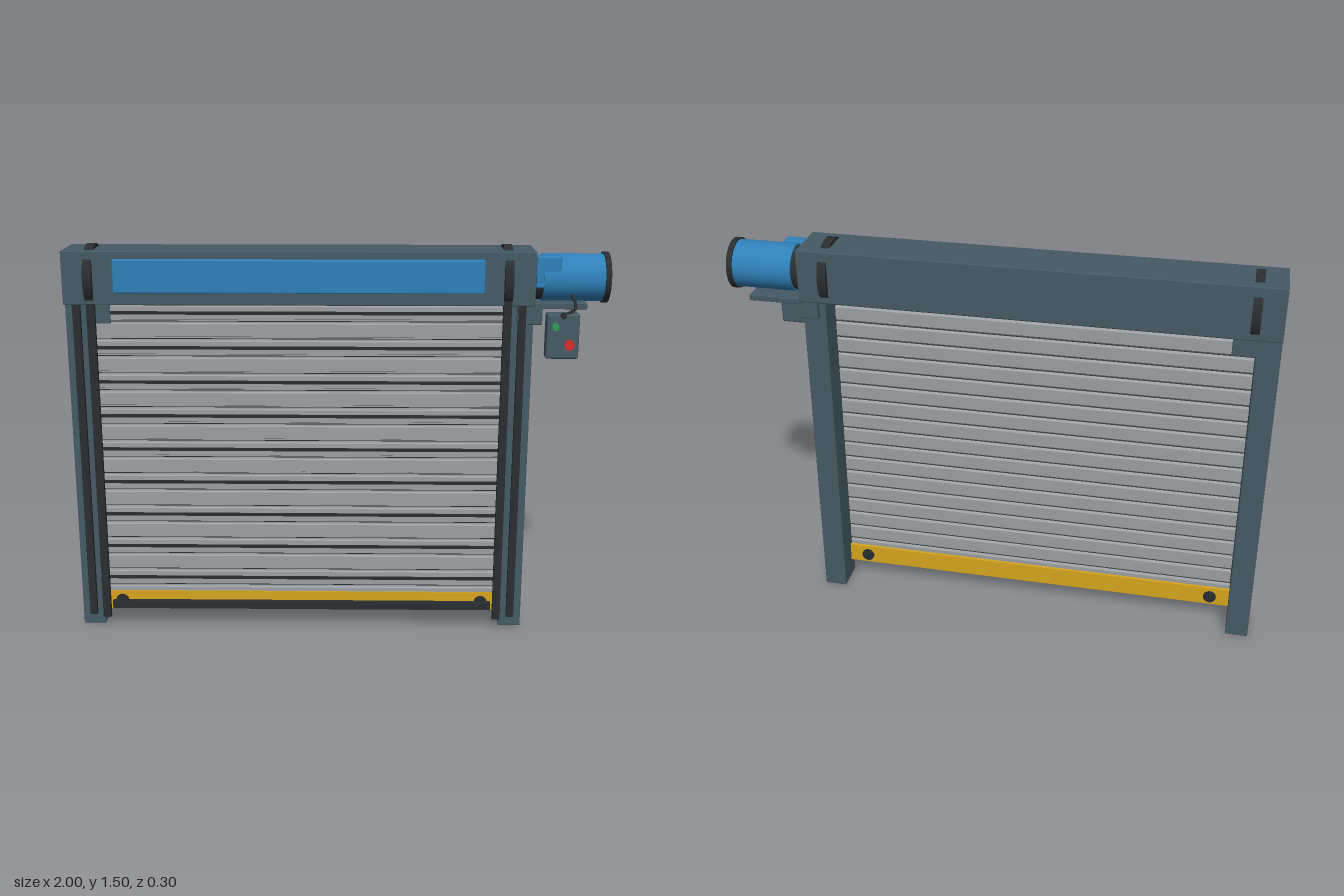
import * as THREE from 'three';
import { RoundedBoxGeometry } from 'three/addons/geometries/RoundedBoxGeometry.js';

const mat = (color) => new THREE.MeshStandardMaterial({ color });

export function createModel() {
  const root = new THREE.Group();
  const steel = mat(0x455a64), black = mat(0x2a2e31), blue = mat(0x2f80b8);
  const yellow = mat(0xd6a51e), grey = mat(0x9c9fa2), red = mat(0xd32f2f), green = mat(0x2e9e57);

  const add = (name, geometry, material) => {
    const m = new THREE.Mesh(geometry, material);
    m.name = name;
    root.add(m);
    return m;
  };
  // box given by its limits on each axis
  const box = (name, material, [x0, x1], [y0, y1], [z0, z1], bevel = 0) => {
    const s = [x1 - x0, y1 - y0, z1 - z0];
    const g = bevel ? new RoundedBoxGeometry(...s, 2, bevel) : new THREE.BoxGeometry(...s);
    g.translate((x0 + x1) / 2, (y0 + y1) / 2, (z0 + z1) / 2);
    return add(name, g, material);
  };
  // cylinder along x or z, from a to b
  const rod = (name, material, axis, r, a, b, u, v, seg = 40) => {
    const g = new THREE.CylinderGeometry(r, r, b - a, seg);
    if (axis === 'x') g.rotateZ(-Math.PI / 2).translate((a + b) / 2, u, v);
    else g.rotateX(Math.PI / 2).translate(u, v, (a + b) / 2);
    return add(name, g, material);
  };

  // roller housing with front panel
  box('housing', steel, [-1, 0.727], [1.282, 1.48], [-0.125, 0.07], 0.004);
  box('frontPanel', blue, [-0.81, 0.54], [1.33, 1.452], [0.065, 0.095], 0.005);

  // drum flanges that break through the housing
  for (const x of [-0.903, 0.628]) rod('drumFlange', black, 'x', 0.121, x - 0.016, x + 0.016, 1.375, -0.025);

  // posts, guide rails and brackets, mirrored about the door's centre line
  const mid = -0.1365;
  for (const side of [-1, 1]) {
    const span = (a, b) => [mid + side * a, mid + side * b].sort((p, q) => p - q);
    box('post', steel, span(0.778, 0.8635), [0, 1.3], [-0.085, 0.037], 0.003);
    box('innerGuideRail', black, span(0.749, 0.779), [0.04, 1.3], [0.05, 0.07]);
    box('outerGuideRail', black, span(0.806, 0.834), [0.045, 1.3], [0.03, 0.056]);
  }
  for (const x of [-0.925, 0.665]) box('bracket', steel, [x, x + 0.093], [1.21, 1.29], [-0.105, 0.05], 0.003);

  // curtain of interlocking slats, every second one with a dark strip
  const pitch = 0.0655, left = -0.913, right = 0.64;
  const profile = new THREE.Shape([
    [0.02, -0.031], [0.036, -0.031], [0.036, -0.026], [0.045, -0.023], [0.045, 0.023],
    [0.036, 0.026], [0.036, 0.031], [0.02, 0.031], [0.014, 0.024], [0.014, -0.024],
  ].map(([z, y]) => new THREE.Vector2(-z, y)).reverse());
  const slatGeo = new THREE.ExtrudeGeometry(profile, { depth: right - left, bevelEnabled: false });
  slatGeo.rotateY(Math.PI / 2);
  for (let i = -1; i <= 16; i++) {
    const y = 0.202 + i * pitch;
    add('slat', slatGeo, grey).position.set(left, y, 0);
    if (i % 2 === 0) box('slatStrip', black, [left, right], [y - 0.006, y + 0.006], [0.04, 0.049]);
  }
  box('curtainCore', black, [left, right], [0.13, 1.3], [0.022, 0.034]);

  // bottom bar with safety edge and end bolts
  box('bottomBar', yellow, [-0.915, 0.642], [0.07, 0.145], [0.002, 0.05]);
  box('safetyEdge', black, [-0.876, 0.604], [0.078, 0.109], [0.045, 0.068]);
  for (const x of [-0.84, 0.566]) rod('barBolt', black, 'z', 0.025, -0.004, 0.06, x, 0.106, 24);

  // drive: hub, motor, end cap, gearbox and shelf
  rod('driveHub', black, 'x', 0.08, 0.72, 0.765, 1.375, -0.025);
  rod('motor', blue, 'x', 0.087, 0.758, 0.985, 1.375, -0.025);
  rod('motorCap', black, 'x', 0.093, 0.98, 1, 1.375, -0.025);
  box('gearbox', blue, [0.727, 0.82], [1.345, 1.463], [0.008, 0.056], 0.008);
  box('motorShelf', steel, [0.72, 0.92], [1.268, 1.29], [-0.118, 0.05], 0.003);

  // control box with buttons and cable
  box('controlBox', steel, [0.763, 0.882], [1.1, 1.265], [0.078, 0.133], 0.008);
  rod('startButton', green, 'z', 0.013, 0.13, 0.145, 0.793, 1.22, 24);
  rod('stopButton', red, 'z', 0.019, 0.13, 0.145, 0.846, 1.153, 24);
  rod('cableGland', black, 'z', 0.01, 0.125, 0.15, 0.82, 1.26, 16);
  const path = new THREE.CatmullRomCurve3([
    [0.86, 1.32, 0.045], [0.87, 1.3, 0.068], [0.87, 1.28, 0.09], [0.85, 1.27, 0.115], [0.82, 1.26, 0.13],
  ].map((p) => new THREE.Vector3(...p)));
  add('cable', new THREE.TubeGeometry(path, 24, 0.006, 8), black);

  return root;
}
